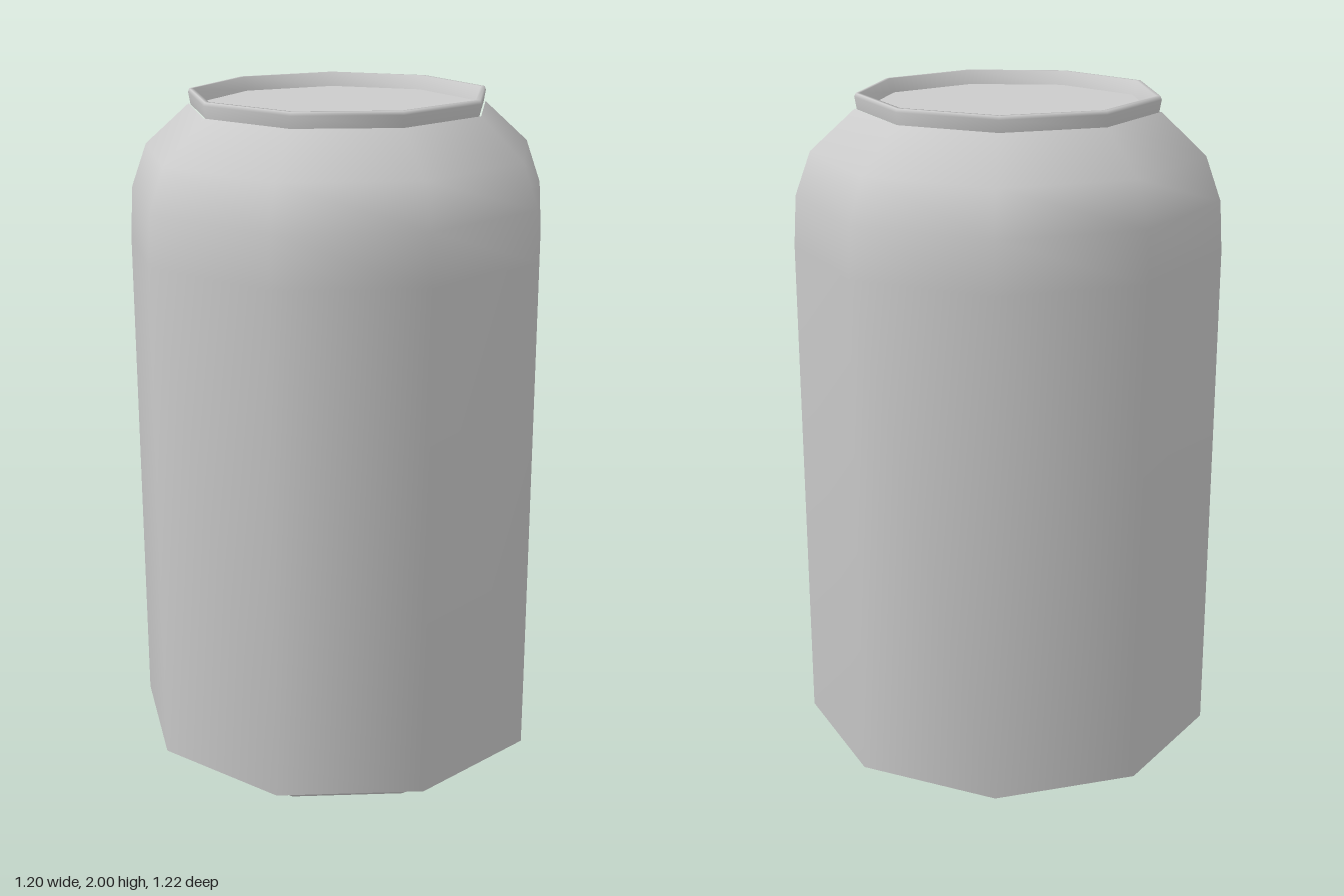
import * as THREE from 'three';

const SIDES = 9;

// Nine-sided ring from a [radius, height] profile; a corner points to +x
function ring(name, profile, material) {
  const points = profile.map(([r, y]) => new THREE.Vector2(r, y));
  const mesh = new THREE.Mesh(new THREE.LatheGeometry(points, SIDES, Math.PI / 2), material);
  mesh.name = name;
  return mesh;
}

export function createModel() {
  const can = new THREE.Group();
  can.name = 'drinkCan';
  const metal = new THREE.MeshStandardMaterial({ color: 0xcccccc });

  can.add(
    // Recessed underside
    ring('baseFloor', [[0, 0.11], [0.39, 0.11]], metal),
    ring('baseRecess', [[0.39, 0.11], [0.477, 0]], metal),
    // Foot the can stands on
    ring('foot', [[0.477, 0], [0.503, 0.047]], metal),
    // Wall with rounded shoulder
    ring('body', [
      [0.503, 0.047], [0.617, 0.085], [0.617, 1.57],
      [0.608, 1.715], [0.563, 1.84], [0.434, 1.957],
    ], metal),
    // Rolled rim around the lid
    ring('rim', [[0.428, 1.955], [0.434, 1.99], [0.43, 2], [0.418, 2], [0.404, 1.96]], metal),
    ring('lid', [[0.404, 1.96], [0, 1.96]], metal),
  );

  // An odd-sided ring is not centred on its axis
  can.position.x = -0.019;
  const model = new THREE.Group();
  model.name = 'model';
  model.add(can);
  return model;
}
